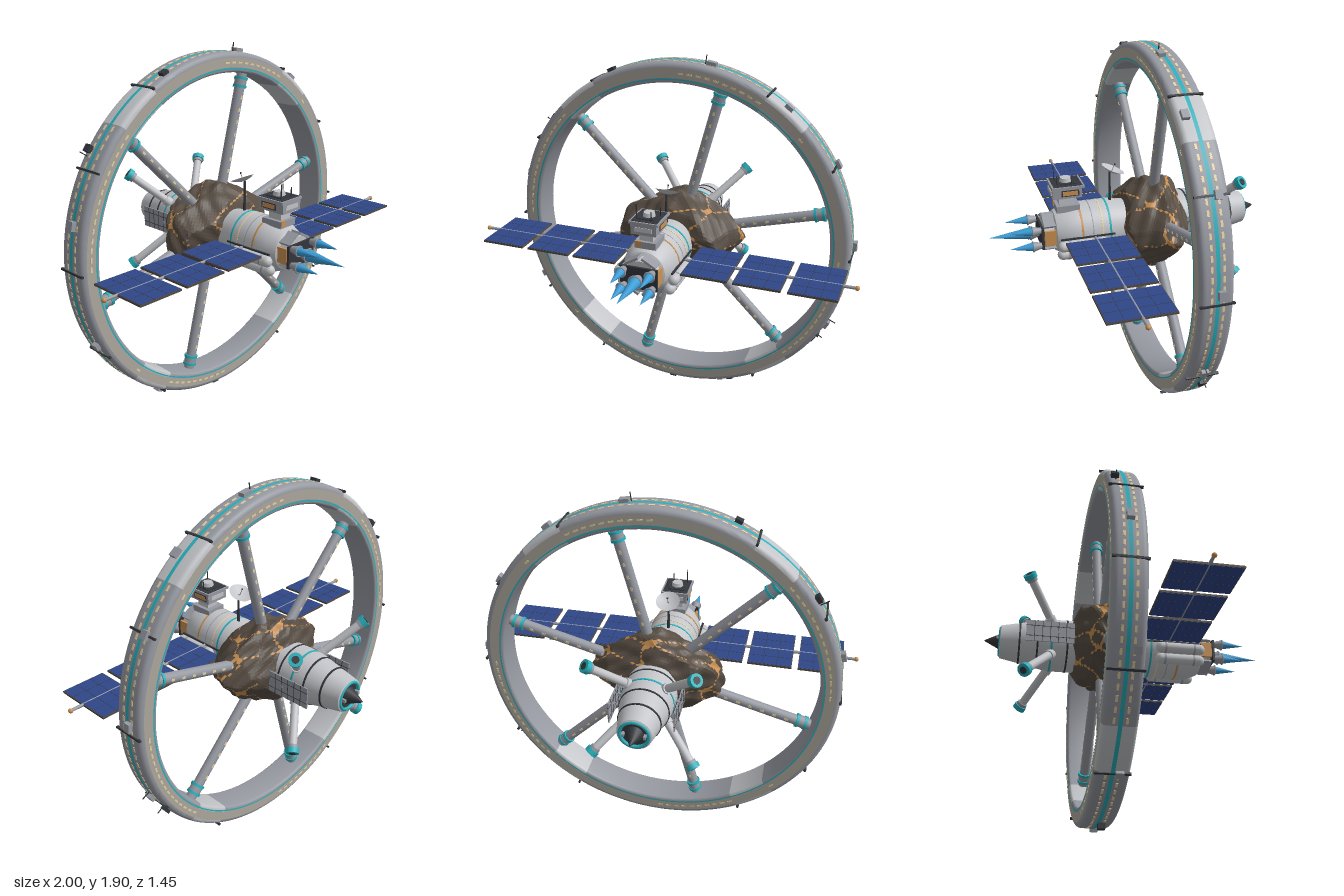
import * as THREE from 'three';
import { mergeGeometries, toCreasedNormals } from 'three/addons/utils/BufferGeometryUtils.js';

const mat = (name, color, extra = {}) => new THREE.MeshStandardMaterial({ name, color, ...extra });
const DEG = Math.PI / 180, RING_Z = -0.13, OUT = 0.916, INN = 0.815;

export function createModel() {
  const M = {
    light: mat('light hull', 0xc2c4c8, { side: THREE.DoubleSide }),
    mid: mat('mid grey hull', 0x979aa2),
    warm: mat('warm grey panel', 0xaea99f),
    dark: mat('dark metal', 0x34373c),
    teal: mat('teal trim', 0x27b0bb),
    blue: mat('solar blue', 0x2f4789),
    rock: mat('rock brown', 0x574d43),
    ore: mat('ore orange', 0xcb9152),
    glow: mat('window yellow', 0xe6d2a2),
    flame: mat('flame blue', 0x3a9dd6),
  };
  const root = new THREE.Group();
  root.name = 'ringStation';
  const station = new THREE.Group();
  station.name = 'station';
  station.position.y = 0.945;
  root.add(station);

  const add = (name, geo, material, x = 0, y = 0, z = 0, parent = station) => {
    const m = new THREE.Mesh(geo, material);
    m.name = name;
    m.position.set(x, y, z);
    parent.add(m);
    return m;
  };
  const box = (w, h, d) => new THREE.BoxGeometry(w, h, d);
  // round part along z: rf is the front radius, rb the back radius
  const zCyl = (rf, rb, len, n = 24) => new THREE.CylinderGeometry(rf, rb, len, n).rotateX(Math.PI / 2);
  // round part along x from a to b
  const rod = (r, a, b) => new THREE.CylinderGeometry(r, r, b - a, 16).rotateZ(-Math.PI / 2).translate((a + b) / 2, 0, 0);
  // profile of [radius, z] turned about the z axis, angles counted from +x
  const turn = (pts, n = 40, from = 0, arc = 360) => toCreasedNormals(
    new THREE.LatheGeometry(pts.map(p => new THREE.Vector2(p[0], p[1])), n, (from + 90) * DEG, arc * DEG)
      .rotateX(Math.PI / 2), 0.5);
  // box placed on the ring at radius r and angle a (local x radial, y tangential)
  const polar = (w, h, d, r, a, z) => box(w, h, d).translate(r, 0, z).rotateZ(a * DEG);
  let seed = 7;
  const rand = () => (seed = (seed * 16807) % 2147483647) / 2147483647;

  // habitat ring: rounded section in alternating panels
  const ring = new THREE.Group();
  ring.name = 'habitatRing';
  ring.position.z = RING_Z;
  station.add(ring);
  const section = [], hz = 0.0785, co = 0.026, ci = 0.014;
  [[OUT - co, hz - co, 0, co], [INN + ci, hz - ci, 90, ci], [INN + ci, ci - hz, 180, ci], [OUT - co, co - hz, 270, co]].forEach(([r, z, a, c]) => {
    for (let i = 0; i <= 4; i++) {
      const t = (a + i * 22.5) * DEG;
      section.push([r + c * Math.cos(t), z + c * Math.sin(t)]);
    }
  });
  section.push(section[0]);
  const lightArcs = [45, 120, 225, 300];
  lightArcs.forEach((a, k) => {
    const gap = k % 2 ? 90 : 60;
    add('ringPanelLight', turn(section, 6, a, 15), M.light, 0, 0, 0, ring);
    add('ringPanel', turn(section, gap / 2.5, a + 15, gap), M.mid, 0, 0, 0, ring);
  });
  add('ringOuterStripe', turn([[OUT + 0.002, -0.009], [OUT + 0.002, 0.009]], 120), M.teal, 0, 0, 0, ring);
  for (const s of [1, -1]) {
    const flat = (a, b) => {
      const g = new THREE.RingGeometry(a, b, 120);
      return s < 0 ? g.rotateY(Math.PI) : g;
    };
    add('ringSidePanel', flat(0.84, 0.889), M.warm, 0, 0, s * (hz + 0.0015), ring);
    add('ringSideStripe', flat(0.831, 0.838), M.teal, 0, 0, s * (hz + 0.002), ring);
  }
  const lamps = [];
  for (let a = 1.5; a < 360; a += 3) {
    if (lightArcs.some(b => a > b && a < b + 15)) continue;
    for (const s of [1, -1]) {
      lamps.push(polar(0.006, 0.028, 0.011, OUT - 0.0015, a, s * 0.028));
      if (a % 90 > 42) lamps.push(polar(0.009, 0.026, 0.006, 0.864, a, s * hz));
    }
  }
  add('ringWindows', mergeGeometries(lamps), M.glow, 0, 0, 0, ring);
  const ribs = [];
  for (let a = 0; a < 360; a += 30) if (a % 180 !== 90) ribs.push(polar(0.012, 0.01, 0.162, OUT - 0.001, a, 0));
  add('ringRibs', mergeGeometries(ribs), M.dark, 0, 0, 0, ring);

  // small equipment boxes and whips on the outer rim
  [144, 30, 3, -27, -70, -74, -92, 205, 166, 80, 113, 240, 325, 53].forEach((a, i) => {
    const z = (rand() - 0.5) * 0.09, h = i === 6 ? 0.029 : 0.012 + rand() * 0.012;
    add('rimBox', polar(h, 0.03 + rand() * 0.02, 0.035, OUT + h / 2, a, z), [M.dark, M.mid, M.light][i % 3 === 2 ? 1 : i % 2], 0, 0, 0, ring);
    if (i % 3 === 0 && i !== 6) add('rimWhip', polar(0.05, 0.004, 0.004, OUT + 0.02, a + 2, z), M.dark, 0, 0, 0, ring);
  });

  // six spokes with collars and window rows
  for (let k = 0; k < 6; k++) {
    const spoke = new THREE.Group();
    spoke.name = 'spoke';
    spoke.rotation.z = (15 + 60 * k) * DEG;
    ring.add(spoke);
    add('spokeTube', rod(0.027, 0.1, 0.82), M.mid, 0, 0, 0, spoke);
    add('spokeSleeve', rod(0.032, 0.75, 0.785), M.mid, 0, 0, 0, spoke);
    for (const x of [0.74, 0.782]) add('spokeCollar', rod(0.036, x, x + 0.014), M.teal, 0, 0, 0, spoke);
    const dots = [];
    for (let x = 0.3; x < 0.72; x += 0.065) for (const s of [1, -1]) dots.push(box(0.02, 0.011, 0.006).translate(x, 0, s * 0.025));
    add('spokeWindows', mergeGeometries(dots), M.glow, 0, 0, 0, spoke);
  }

  // asteroid core: sphere cut by seeded planes, ore veins split off as faces
  const planes = Array.from({ length: 44 }, () => {
    const y = rand() * 2 - 1, t = rand() * 6.283, q = Math.sqrt(1 - y * y);
    return { n: new THREE.Vector3(q * Math.cos(t), y, q * Math.sin(t)), d: 0.84 + rand() * 0.24 };
  });
  const ball = new THREE.IcosahedronGeometry(1, 17).getAttribute('position');
  const faces = { rock: [], ore: [] }, v = new THREE.Vector3(), mid = new THREE.Vector3();
  for (let i = 0; i < ball.count; i += 3) {
    const tri = [];
    mid.set(0, 0, 0);
    for (let j = 0; j < 3; j++) {
      v.fromBufferAttribute(ball, i + j).normalize();
      mid.addScaledVector(v, 1 / 3);
      let r = 1.2;
      for (const p of planes) {
        const d = p.n.dot(v);
        if (d > 0.2) r = Math.min(r, p.d / d);
      }
      r += 0.035 * Math.sin(11 * v.x + 5 * v.y) * Math.sin(13 * v.z + 9 * v.y) + 0.12 * Math.pow(Math.abs(v.x), 6);
      tri.push(v.x * r * 0.305, v.y * r * 0.23, v.z * r * 0.18);
    }
    const vein = Math.sin(4 * mid.x + 2 * Math.sin(5 * mid.y)) + Math.sin(5 * mid.z + 3 * mid.y + 1);
    faces[Math.abs(vein) < 0.1 ? 'ore' : 'rock'].push(...tri);
  }
  for (const key of ['rock', 'ore']) {
    const g = new THREE.BufferGeometry();
    g.setAttribute('position', new THREE.Float32BufferAttribute(faces[key], 3));
    g.computeVertexNormals();
    add(key === 'rock' ? 'asteroid' : 'oreVeins', g, M[key], 0, 0, RING_Z);
  }

  // front hull, bands and engine block
  add('frontHull', turn([[0.12, -0.05], [0.125, 0.05], [0.135, 0.09], [0.135, 0.28], [0.128, 0.34], [0.105, 0.39], [0.088, 0.4], [0.082, 0.45], [0, 0.45]]), M.light);
  const band = (name, z, r, w, m) => add(name, zCyl(r, r, w, 40), m, 0, 0, z);
  band('hullBand', 0.12, 0.1365, 0.01, M.teal);
  band('hullSeam', 0.16, 0.1365, 0.007, M.glow);
  band('hullSeam', 0.265, 0.1365, 0.01, M.ore);
  band('hullSeam', 0.21, 0.136, 0.004, M.mid);
  for (let k = 0; k < 6; k++) {
    const p = add('enginePanel', box(0.012, 0.08, 0.07).translate(0.088, 0, 0.418), k % 3 ? M.mid : M.ore);
    p.rotation.z = k * 60 * DEG;
  }
  add('enginePlate', box(0.19, 0.115, 0.012), M.dark, 0, 0, 0.462);
  for (const [x, y, s] of [[0, 0, 1.35], [1, 1, 1], [-1, 1, 1], [1, -1, 1], [-1, -1, 1]]) {
    const px = x * 0.073, py = y * 0.042;
    add('nozzle', zCyl(0.026 * s, 0.014 * s, 0.05, 20), M.mid, px, py, 0.488);
    add('nozzleRim', new THREE.TorusGeometry(0.025 * s, 0.004, 6, 20), M.mid, px, py, 0.512);
    const len = s > 1 ? 0.215 : 0.12;
    add('flame', zCyl(0, 0.023 * s, len, 12), M.flame, px, py, 0.51 + len / 2);
  }

  // fuel tanks and side rails
  for (const s of [1, -1]) {
    for (const [x, y] of [[0.143, -0.03], [0.122, -0.083]]) {
      add('fuelTank', new THREE.CapsuleGeometry(0.028, 0.2, 6, 14).rotateX(Math.PI / 2), M.light, s * x, y, 0.27);
      for (const z of [0.19, 0.34]) add('tankStrap', zCyl(0.029, 0.029, 0.01, 14), M.mid, s * x, y, z);
    }
    add('sideRail', box(0.01, 0.008, 0.28), M.dark, s * 0.137, 0.005, 0.24);
  }

  // solar wings
  add('solarSpar', new THREE.CylinderGeometry(0.008, 0.008, 1.97, 8).rotateZ(Math.PI / 2), M.mid, 0, 0, 0.205);
  for (const s of [1, -1]) {
    add('sparTip', new THREE.SphereGeometry(0.012, 10, 8), M.ore, s * 0.988, 0, 0.205);
    for (const x of [0.288, 0.545, 0.807]) {
      add('solarFrame', box(0.23, 0.01, 0.318), M.rock, s * x, 0, 0.205);
      add('solarCells', box(0.224, 0.013, 0.312), M.blue, s * x, 0, 0.205);
      const lines = [];
      for (const t of [-0.037, 0.037]) lines.push(box(0.002, 0.014, 0.312).translate(t, 0, 0));
      for (const t of [-0.08, 0.08]) lines.push(box(0.224, 0.014, 0.002).translate(0, 0, t));
      add('cellLines', mergeGeometries(lines), M.dark, s * x, 0, 0.205);
    }
  }

  // control tower
  const tower = new THREE.Group();
  tower.name = 'controlTower';
  tower.position.set(0, -0.012, 0.32);
  station.add(tower);
  const part = (name, geo, m, x, y, z) => add(name, geo, m, x, y, z, tower);
  part('towerBase', box(0.11, 0.035, 0.12), M.mid, 0, 0.145, 0);
  part('towerNeck', box(0.07, 0.1, 0.075), M.light, 0, 0.185, 0.005);
  part('towerBadge', box(0.03, 0.03, 0.006), M.ore, -0.035, 0.15, 0.06);
  part('towerHead', box(0.13, 0.055, 0.15), M.mid, 0, 0.235, 0.005);
  part('towerRoof', box(0.15, 0.012, 0.165), M.mid, 0, 0.266, 0);
  part('roofTrim', box(0.132, 0.008, 0.146), M.dark, 0, 0.27, 0);
  part('roofDeck', box(0.088, 0.006, 0.098), M.dark, 0, 0.275, 0);
  part('towerWindowFrame', box(0.134, 0.032, 0.09), M.dark, 0, 0.235, -0.01);
  part('towerWindow', box(0.138, 0.022, 0.078), M.ore, 0, 0.235, -0.01);
  part('towerFrontPanel', box(0.09, 0.022, 0.156), M.light, 0, 0.235, 0.005);
  part('roofDome', new THREE.CylinderGeometry(0.028, 0.032, 0.02, 8), M.light, 0, 0.288, 0);
  for (const [x, z, h] of [[-0.045, 0.05, 0.08], [0.05, -0.02, 0.05], [0.03, 0.05, 0.05]])
    part('towerAntenna', box(0.004, h, 0.004), M.dark, x, 0.27 + h / 2, z);

  // dish antenna
  add('dishMast', new THREE.CylinderGeometry(0.005, 0.008, 0.17, 8), M.dark, 0, 0.205, 0.09);
  const dish = new THREE.Group();
  dish.name = 'dish';
  dish.position.set(0, 0.285, 0.08);
  dish.rotation.x = -24 * DEG;
  station.add(dish);
  const bowl = [[0.001, 0], [0.02, 0.002], [0.042, 0.009], [0.062, 0.02]].map(p => new THREE.Vector2(...p));
  add('dishBowl', new THREE.LatheGeometry(bowl, 24), M.light, 0, 0, 0, dish);
  add('dishFeed', new THREE.CylinderGeometry(0.002, 0.002, 0.045, 6), M.mid, 0, 0.022, 0, dish);
  add('feedTip', new THREE.SphereGeometry(0.005, 8, 6), M.dark, 0, 0.045, 0, dish);

  // rear hull with bands and tail cone
  add('rearHull', turn([[0.03, -0.62], [0.062, -0.62], [0.075, -0.65], [0.085, -0.645], [0.108, -0.53], [0.13, -0.43], [0.135, -0.36], [0.135, -0.2]]), M.light);
  for (const [z, r] of [[-0.31, 0.137], [-0.46, 0.126], [-0.55, 0.107]]) band('rearSeam', z, r, 0.009, M.dark);
  band('rearBand', -0.39, 0.135, 0.01, M.teal);
  add('tailRing', new THREE.TorusGeometry(0.07, 0.009, 8, 32), M.teal, 0, 0, -0.646);
  add('tailPort', zCyl(0.064, 0.064, 0.01), M.dark, 0, 0, -0.636);
  add('tailCone', zCyl(0.045, 0.003, 0.085, 16), M.dark, 0, 0, -0.682);
  for (const s of [1, -1]) add('tailLatch', box(0.012, 0.016, 0.03), M.mid, s * 0.052, 0, -0.65);

  // slatted radiators beside the rear hull
  for (const s of [1, -1]) {
    add('radiator', box(0.006, 0.112, 0.242), M.mid, s * 0.16, 0, -0.4);
    const slats = [-0.08, -0.04, 0, 0.04, 0.08].map(z => box(0.008, 0.112, 0.003).translate(0, 0, z));
    for (const y of [-0.028, 0.028]) slats.push(box(0.008, 0.003, 0.242).translate(0, y, 0));
    add('radiatorFrame', mergeGeometries(slats), M.dark, s * 0.16, 0, -0.4);
    add('radiatorStrut', box(0.05, 0.012, 0.012), M.mid, s * 0.14, 0, -0.36);
  }

  // four docking arms raked outward and back
  for (let k = 0; k < 4; k++) {
    const turnArm = new THREE.Group();
    turnArm.name = 'dockingArm';
    turnArm.rotation.z = (45 + 90 * k) * DEG;
    station.add(turnArm);
    const arm = new THREE.Group();
    arm.name = 'armAxis';
    arm.position.set(0.09, 0, -0.37);
    arm.rotation.y = 29 * DEG;
    turnArm.add(arm);
    add('armTube', rod(0.021, 0, 0.3), M.light, 0, 0, 0, arm);
    add('armBase', rod(0.027, 0.02, 0.07), M.light, 0, 0, 0, arm);
    add('armNeck', rod(0.027, 0.28, 0.3), M.mid, 0, 0, 0, arm);
    add('armPort', rod(0.033, 0.296, 0.322), M.teal, 0, 0, 0, arm);
    add('armHatch', rod(0.018, 0.3, 0.324), M.dark, 0, 0, 0, arm);
  }
  return root;
}
